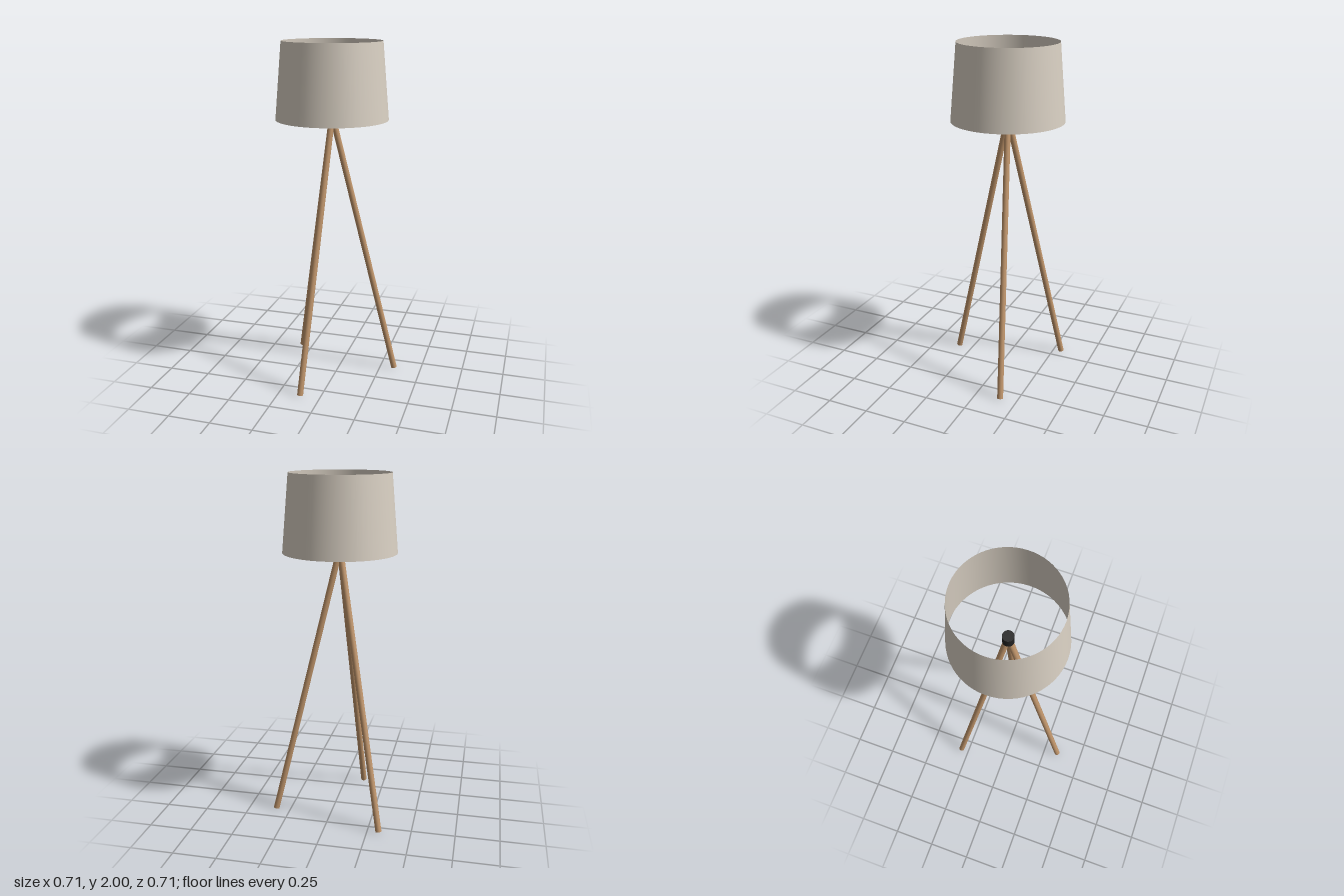
import * as THREE from 'three';

const wood = new THREE.MeshStandardMaterial({ name: 'wood', color: 0xc0956b });
const fabric = new THREE.MeshStandardMaterial({ name: 'fabric', color: 0xd8cfc2, side: THREE.DoubleSide });
const black = new THREE.MeshStandardMaterial({ name: 'black', color: 0x222222 });

// Cylinder running between two points
function rod(from, to, radius, material) {
  const dir = to.clone().sub(from);
  const mesh = new THREE.Mesh(new THREE.CylinderGeometry(radius, radius, dir.length(), 24), material);
  mesh.position.copy(from).add(to).multiplyScalar(0.5);
  mesh.quaternion.setFromUnitVectors(new THREE.Vector3(0, 1, 0), dir.normalize());
  return mesh;
}

export function createModel() {
  const lamp = new THREE.Group();
  lamp.name = 'tripodLamp';
  // Lamp axis sits off the centre because the tripod is not symmetric
  lamp.position.set(-0.033, 0, -0.037);

  // Open tapered shade
  const shade = new THREE.Mesh(new THREE.CylinderGeometry(0.283, 0.321, 0.434, 64, 1, true), fabric);
  shade.name = 'shade';
  shade.position.y = 1.783;
  lamp.add(shade);

  // Socket joining the legs
  const socket = new THREE.Mesh(new THREE.CylinderGeometry(0.032, 0.032, 0.066, 32), black);
  socket.name = 'socket';
  socket.position.y = 1.573;
  lamp.add(socket);

  // Three splayed legs
  for (let i = 0; i < 3; i++) {
    const a = THREE.MathUtils.degToRad(-17.2 + i * 120);
    const at = (r, y) => new THREE.Vector3(Math.cos(a) * r, y, Math.sin(a) * r);
    const leg = rod(at(0.386, 0.004), at(0.007, 1.56), 0.0175, wood);
    leg.name = 'leg' + (i + 1);
    lamp.add(leg);
  }

  const model = new THREE.Group();
  model.name = 'floorLamp';
  model.add(lamp);
  return model;
}
